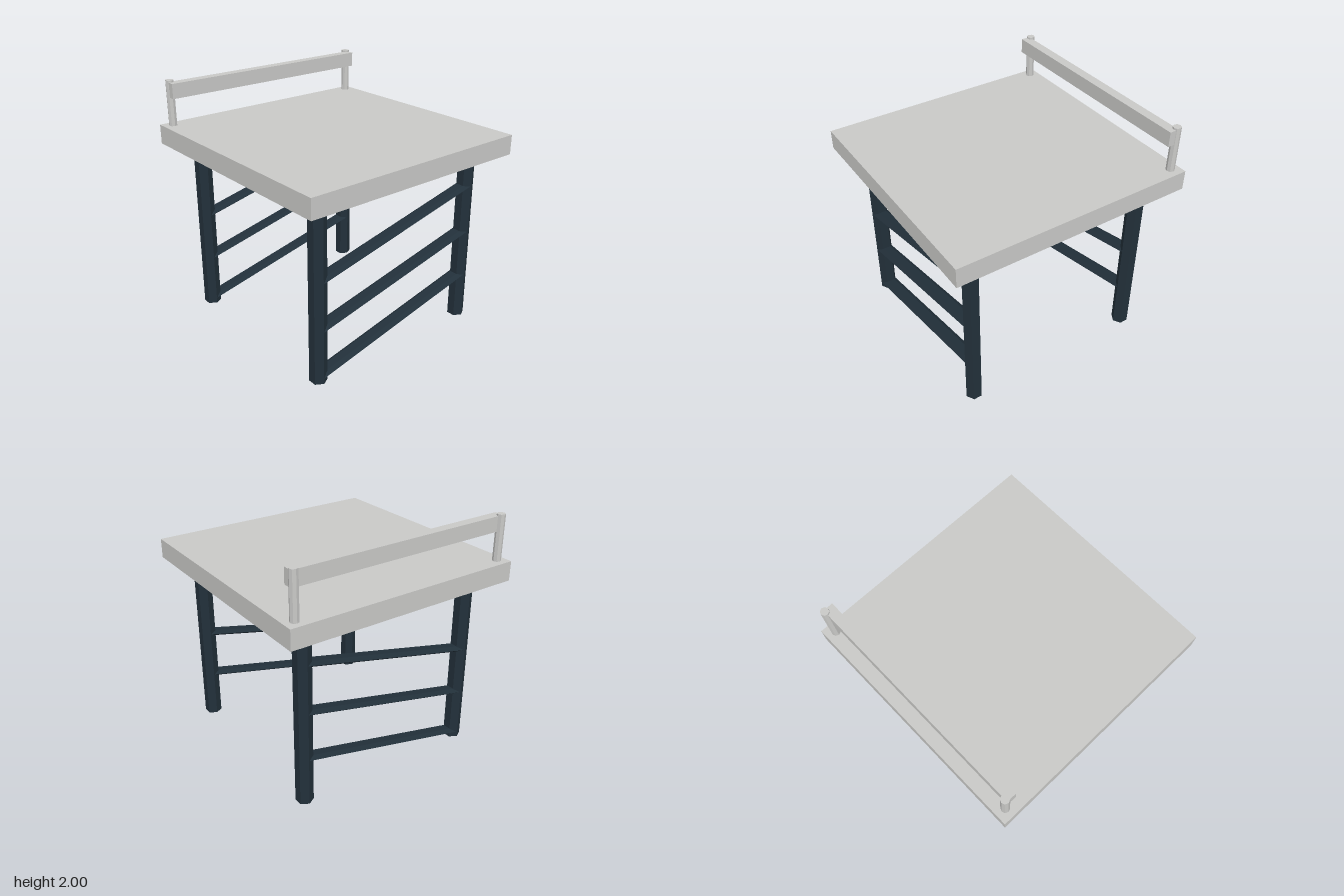
import * as THREE from 'three';

export function createModel() {
  const group = new THREE.Group();
  group.name = 'railedTable';

  const paleGrey = new THREE.MeshStandardMaterial({ color: 0xc8c8c6 });
  paleGrey.name = 'paleGrey';
  const darkSteel = new THREE.MeshStandardMaterial({ color: 0x22303a });
  darkSteel.name = 'darkSteel';

  const add = (name, geometry, material, x, y, z) => {
    // Non-indexed normals keep every facet crisp
    const flat = geometry.toNonIndexed();
    flat.computeVertexNormals();
    const mesh = new THREE.Mesh(flat, material);
    mesh.name = name;
    mesh.position.set(x, y, z);
    group.add(mesh);
    return mesh;
  };

  // Thick square top
  const topBase = 1.465, topSurface = 1.625;
  add('tableTop', new THREE.BoxGeometry(2, topSurface - topBase, 2), paleGrey, 0, (topBase + topSurface) / 2, 0);

  // Rail along the back edge, carried by two octagonal posts
  const postHeight = 2 - topSurface;
  for (const [name, x] of [['rightRailPost', -0.922], ['leftRailPost', 0.918]]) {
    add(name, new THREE.CylinderGeometry(0.034, 0.034, postHeight, 8), paleGrey, x, topSurface + postHeight / 2, -0.921);
  }
  add('backRail', new THREE.BoxGeometry(1.88, 0.123, 0.08), paleGrey, -0.003, 1.923, -0.881);

  // Hexagonal legs and sloping flattened rungs, in a front and a back frame
  const legX = 0.763, legZ = 0.76, rise = 0.35;
  const rungLength = Math.hypot(2 * 0.76, rise);
  for (const [end, side] of [['front', 1], ['back', -1]]) {
    for (const [hand, x] of [['Left', legX], ['Right', -legX]]) {
      add(`${end}${hand}Leg`, new THREE.CylinderGeometry(0.07, 0.07, topBase, 6), darkSteel, x, topBase / 2, side * legZ);
    }
    for (let i = 0; i < 3; i++) {
      // Six-sided bar: squashed in height, pointed towards front and back
      const bar = new THREE.CylinderGeometry(0.066, 0.066, rungLength, 6)
        .scale(0.023 / 0.057, 1, 1)
        .rotateZ(-Math.PI / 2 + Math.atan2(rise, 2 * 0.76));
      add(`${end}Rung${i + 1}`, bar, darkSteel, 0, 0.219 + 0.401 * i, side * legZ);
    }
  }
  return group;
}
